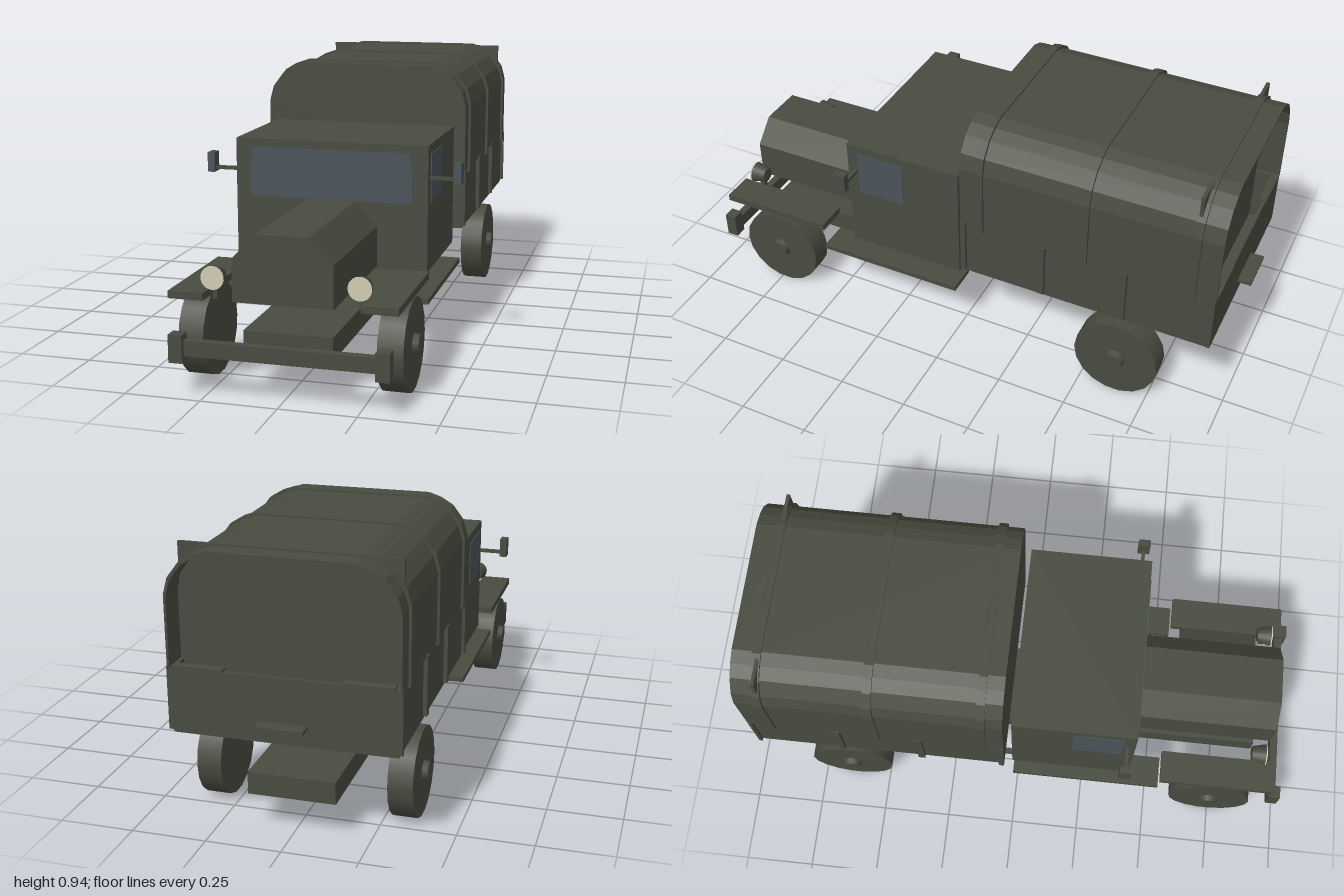
import * as THREE from 'three';

export function createModel() {
  const truck = new THREE.Group();
  truck.name = 'cargoTruck';
  const mat = (name, color) => {
    const m = new THREE.MeshStandardMaterial({ color });
    m.name = name;
    return m;
  };
  const olive = mat('olive paint', 0x484b3f);
  const glass = mat('blue grey glass', 0x4a535a);
  const cream = mat('cream lens', 0xd2ccb5);

  const add = (name, geo, m = olive) => {
    const mesh = new THREE.Mesh(geo, m);
    mesh.name = name;
    truck.add(mesh);
    return mesh;
  };
  // Box given by its minimum and maximum on each axis
  const box = (name, x0, x1, y0, y1, z0, z1, m = olive) =>
    add(name, new THREE.BoxGeometry(x1 - x0, y1 - y0, z1 - z0)
      .translate((x0 + x1) / 2, (y0 + y1) / 2, (z0 + z1) / 2), m);
  // Box on one side of the truck (s = 1 or -1), x0 and x1 measured outward
  const sideBox = (name, s, x0, x1, ...rest) =>
    box(name, Math.min(s * x0, s * x1), Math.max(s * x0, s * x1), ...rest);
  // Symmetric cross-section, from bottom to top of the +x half, pulled along z
  const mirrored = (half) => [...half, ...half.map(([x, y]) => [-x, y]).reverse()];
  const section = (name, pts, z0, z1, m = olive) => {
    const shape = new THREE.Shape(pts.map(([x, y]) => new THREE.Vector2(x, y)));
    const geo = new THREE.ExtrudeGeometry(shape, { depth: z1 - z0, bevelEnabled: false });
    return add(name, geo.translate(0, 0, z0), m);
  };

  // Chassis and front bumper
  box('chassis', -0.145, 0.145, 0.13, 0.205, -0.89, 0.89);
  box('bumper', -0.305, 0.305, 0.138, 0.188, 0.957, 0.985);

  // Cab, bonnet and windscreen
  box('cab', -0.334, 0.334, 0.297, 0.725, -0.015, 0.42);
  section('bonnet', mirrored([[0.161, 0.308], [0.161, 0.445], [0.083, 0.525]]), 0.42, 0.937);
  section('windscreen', mirrored([[0.279, 0.528], [0.283, 0.55], [0.283, 0.635], [0.278, 0.67], [0.273, 0.697]]),
    0.42, 0.424, glass);

  // Cargo bed: floor, load space, end boards and step
  box('bedFloor', -0.36, 0.36, 0.341, 0.36, -0.945, -0.05);
  box('loadSpace', -0.35, 0.35, 0.36, 0.56, -0.87, -0.05);
  box('bedFrontBoard', -0.374, 0.374, 0.353, 0.56, -0.06, -0.041);
  box('tailgate', -0.374, 0.374, 0.353, 0.56, -0.953, -0.941);
  box('rearStep', -0.078, 0.078, 0.403, 0.414, -1.0, -0.945);

  // Canvas cover, open behind the rear bulkhead, and its bows
  const arch = (w, base, top) => mirrored([
    [w, base], [w, top - 0.145], [w - 0.015, top - 0.09], [w - 0.053, top - 0.04],
    [w - 0.095, top - 0.015], [w - 0.14, top],
  ]);
  const hoop = (w, base, top, t) => [...arch(w, base, top), ...arch(w - t, base, top - t).reverse()];
  section('canvasCover', arch(0.371, 0.555, 0.936), -0.865, -0.041);
  section('canvasRearHood', hoop(0.371, 0.555, 0.936, 0.008), -0.955, -0.865);
  for (const z of [-0.115, -0.495, -0.87]) {
    section('canvasBow', hoop(0.38, 0.545, 0.942, 0.012), z - 0.015, z + 0.015);
  }
  box('rearBulkhead', -0.354, 0.354, 0.36, 0.937, -0.872, -0.86);

  // Exhaust pipe on the right side
  box('exhaustPipe', -0.282, -0.262, 0.19, 0.205, -0.24, 0.1);

  for (const s of [1, -1]) {
    // Wheels with tapered hubs
    for (const z of [0.737, -0.63]) {
      const wheel = add('wheel', new THREE.CylinderGeometry(0.152, 0.152, 0.083, 18));
      wheel.rotation.z = -s * Math.PI / 2;
      wheel.position.set(s * 0.322, 0.153, z);
      const hub = add('wheelHub', new THREE.CylinderGeometry(0.03, 0.037, 0.022, 14));
      hub.rotation.z = -s * Math.PI / 2;
      hub.position.set(s * 0.372, 0.155, z);
    }

    // Fenders, running boards and bumper ends
    sideBox('fender', s, 0.25, 0.365, 0.31, 0.334, 0.535, 0.955);
    sideBox('runningBoard', s, 0.25, 0.363, 0.222, 0.24, -0.01, 0.535);
    sideBox('bumperEnd', s, 0.305, 0.35, 0.118, 0.208, 0.957, 1.0);

    // Headlight shell, lens and stem
    const shell = add('headlight', new THREE.CylinderGeometry(0.038, 0.026, 0.05, 18));
    shell.rotation.x = Math.PI / 2;
    shell.position.set(s * 0.235, 0.372, 0.885);
    const lens = add('headlightLens', new THREE.CylinderGeometry(0.038, 0.038, 0.004, 18), cream);
    lens.rotation.x = Math.PI / 2;
    lens.position.set(s * 0.235, 0.372, 0.912);
    sideBox('headlightStem', s, 0.227, 0.243, 0.3, 0.345, 0.873, 0.893);

    // Door window and mirror
    sideBox('doorWindow', s, 0.334, 0.337, 0.527, 0.693, 0.2, 0.378, glass);
    sideBox('mirrorArm', s, 0.334, 0.42, 0.608, 0.62, 0.385, 0.397);
    sideBox('mirrorHousing', s, 0.418, 0.443, 0.6, 0.668, 0.37, 0.41);
    sideBox('mirrorGlass', s, 0.418, 0.443, 0.6, 0.668, 0.41, 0.413, glass);

    // Bed side boards, stakes and tailgate latches
    sideBox('bedSideBoard', s, 0.35, 0.362, 0.345, 0.56, -0.945, -0.055);
    for (const z of [-0.345, -0.64]) {
      sideBox('bedStake', s, 0.36, 0.376, 0.355, 0.56, z - 0.012, z + 0.012);
    }
    sideBox('tailgateLatch', s, 0.19, 0.35, 0.556, 0.568, -0.957, -0.93);
  }
  return truck;
}
